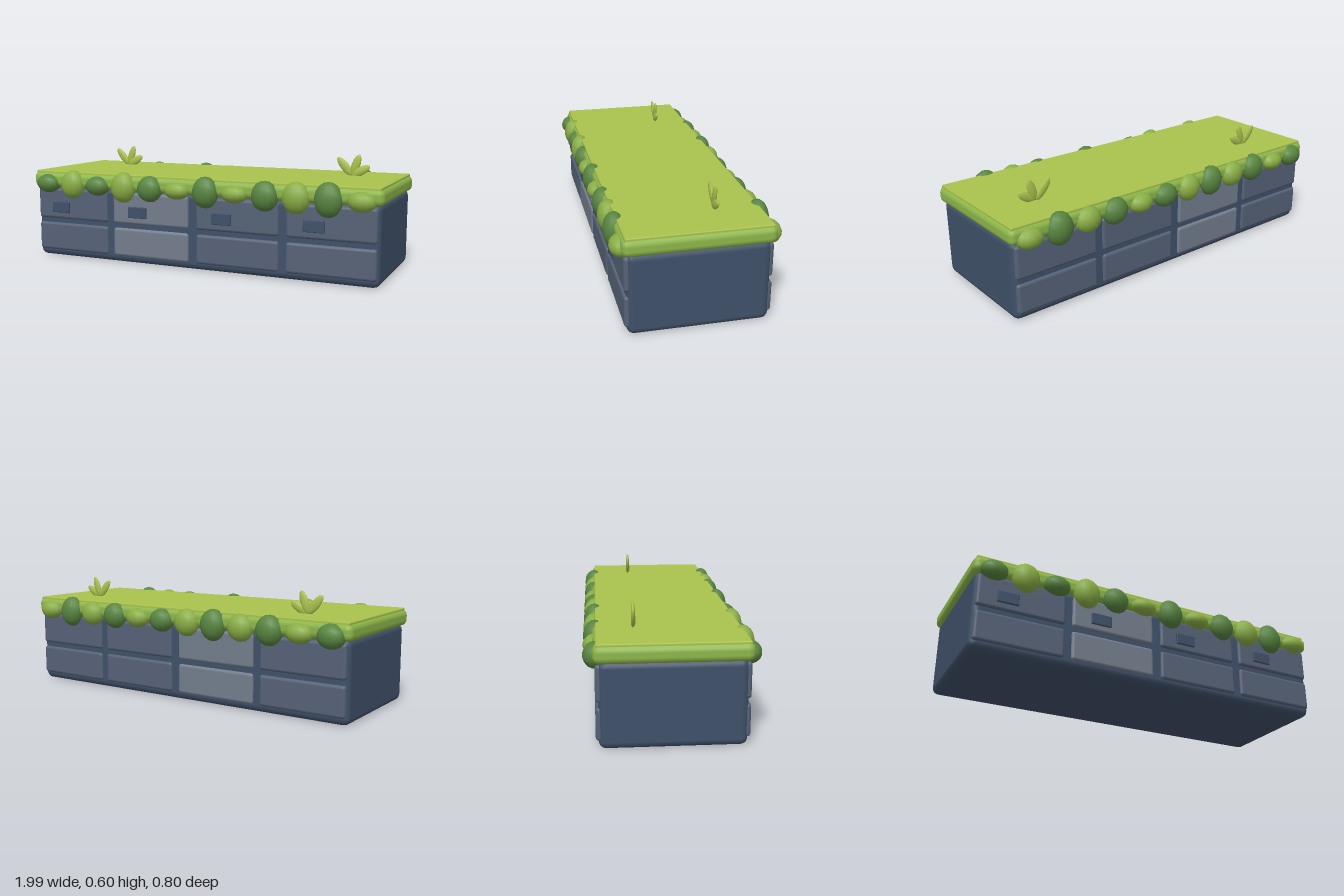
import * as THREE from 'three';
import { RoundedBoxGeometry } from 'three/addons/geometries/RoundedBoxGeometry.js';

const mat = (color) => new THREE.MeshStandardMaterial({ color });

export function createModel() {
  const model = new THREE.Group();
  const stone = mat(0x40516a), panelMat = mat(0x566277), palePanel = mat(0x737d8d);
  const turf = mat(0x8db74b), grass = mat(0xaac24e);
  const darkBush = mat(0x588540), lightBush = mat(0x8aae46);

  const add = (name, geometry, material, x, y, z, parent = model) => {
    const mesh = new THREE.Mesh(geometry, material);
    mesh.name = name;
    mesh.position.set(x, y, z);
    parent.add(mesh);
    return mesh;
  };
  // Rounded block given by its half width, y range and half depth
  const block = (name, hx, y0, y1, hz, r, seg, material) =>
    add(name, new RoundedBoxGeometry(2 * hx, y1 - y0, 2 * hz, seg, r), material, 0, (y0 + y1) / 2, 0);

  // Planter body, turf band and flat grass top
  block('body', 0.982, 0.003, 0.41, 0.334, 0.035, 2, stone);
  block('turfBand', 0.997, 0.397, 0.482, 0.355, 0.032, 2, turf);
  block('grassTop', 0.982, 0.466, 0.489, 0.341, 0.006, 1, grass);

  // Stone panels in two rows and four columns, front and back
  const columns = [-0.742, -0.25, 0.25, 0.742];
  const rows = [[0.04, 0.197], [0.22, 0.392]];
  for (const side of [1, -1]) {
    columns.forEach((x, i) => {
      for (const [y0, y1] of rows) {
        const geometry = new RoundedBoxGeometry(0.456, y1 - y0, 0.034, 2, 0.016);
        add('panel', geometry, i === 1 ? palePanel : panelMat, x, (y0 + y1) / 2, side * 0.329);
      }
    });
  }

  // Small plates on the front only
  for (let i = 0; i < 4; i++) {
    add('plate', new RoundedBoxGeometry(0.11, 0.06, 0.014, 1, 0.004), stone, -0.814 + i * 0.492, 0.287, 0.349);
  }

  // Hanging bushes along both long edges: half heights, left to right
  const heights = {
    front: [0.052, 0.079, 0.053, 0.083, 0.07, 0.046, 0.082, 0.046, 0.077, 0.08, 0.087, 0.05],
    back: [0.06, 0.05, 0.076, 0.07, 0.082, 0.072, 0.062, 0.052, 0.07, 0.066, 0.084, 0.053],
  };
  const bush = new THREE.SphereGeometry(1, 12, 9);
  for (const [side, list] of Object.entries(heights)) {
    const row = new THREE.Group();
    row.name = side + 'Bushes';
    model.add(row);
    list.forEach((h, i) => {
      const mesh = add('bush', bush, i % 2 ? lightBush : darkBush,
        -0.895 + i * 0.1625, 0.419, side === 'front' ? 0.344 : -0.344, row);
      mesh.scale.set(0.073, h, 0.055);
    });
  }

  // Tufts of three flat leaves: lean angle, length
  const leaf = new THREE.SphereGeometry(1, 10, 8);
  const leaves = [[0.7, 0.125], [-0.33, 0.12], [-1.05, 0.11]];
  for (const [x, z] of [[-0.68, -0.163], [0.717, -0.128]]) {
    const tuft = new THREE.Group();
    tuft.name = 'grassTuft';
    tuft.position.set(x, 0.487, z);
    model.add(tuft);
    leaves.forEach(([angle, length], i) => {
      const mesh = add('leaf', leaf, grass, -Math.sin(angle) * length / 2,
        Math.cos(angle) * length / 2, (i - 1) * 0.003, tuft);
      mesh.rotation.z = angle;
      mesh.scale.set(0.023, length / 2, 0.01);
    });
  }
  return model;
}
